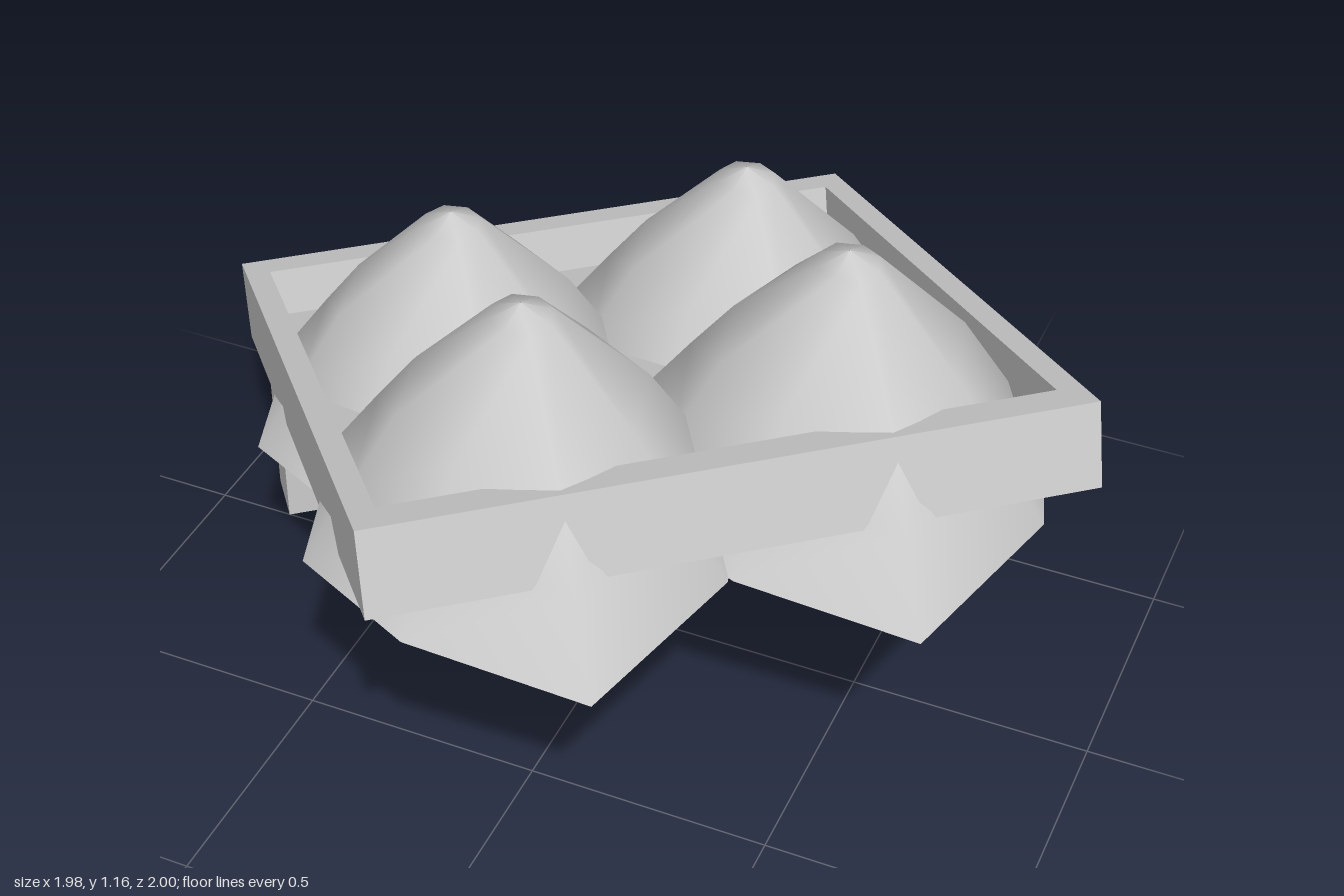
import * as THREE from 'three';

const W = 1.35, L = 1.49, H = 0.168; // tray width, length, height
const SIDE = 0.05, END = 0.083;      // rim widths
const YAW = 0.681, TILT = 0.286;

const mat = new THREE.MeshStandardMaterial({ color: 0xcccccc, side: THREE.DoubleSide });

function add(name, parent, geometry, x, y, z) {
  const m = new THREE.Mesh(geometry, mat);
  m.name = name;
  m.position.set(x, y, z);
  parent.add(m);
  return m;
}

// Joins closed rings of points, each given from low outside to the end of the surface
function loft(rings, flat) {
  const n = rings[0].length, idx = [];
  for (let j = 1; j < rings.length; j++) {
    for (let i = 0; i < n; i++) {
      const k = (i + 1) % n, a = (j - 1) * n, b = j * n;
      idx.push(a + i, a + k, b + k, a + i, b + k, b + i);
    }
  }
  let g = new THREE.BufferGeometry();
  g.setAttribute('position', new THREE.Float32BufferAttribute(rings.flat(2), 3));
  g.setIndex(idx);
  if (flat) g = g.toNonIndexed();
  g.computeVertexNormals();
  return g;
}

// Rectangle of width w and depth d at height y
const rect = (w, d, y) =>
  [[-1, 1], [1, 1], [1, -1], [-1, -1]].map(([x, z]) => [x * w / 2, y, z * d / 2]);

// Pointed mound: eight spokes of [radius, drop], open scalloped rim
function moundGeometry() {
  const ridge = [[0.47, 0.535], [0.37, 0.365], [0.286, 0.225], [0.07, 0.03], [0.001, 0]];
  const valley = [[0.42, 0.465], [0.32, 0.325], [0.23, 0.205], [0.06, 0.025], [0.001, 0]];
  const flank = [[0.42, 0.5], [0.32, 0.34], [0.235, 0.205], [0.06, 0.025], [0.001, 0]];
  const spokes = [ridge, valley, flank, valley, ridge, valley, flank, valley];
  const rings = ridge.map((_, j) => spokes.map((s, i) => {
    const a = i * Math.PI / 4, [r, drop] = s[j];
    return [Math.sin(a) * r, -drop, Math.cos(a) * r];
  }));
  return loft(rings, false);
}

export function createModel() {
  const model = new THREE.Group();
  model.name = 'slopedTray';
  const turned = new THREE.Group();
  turned.name = 'turnedAssembly';
  turned.rotation.y = YAW;
  model.add(turned);

  // Sloping tray shell, open below: outer walls, rim, inner walls and recessed floor
  const iw = W - 2 * SIDE, il = L - 2 * END, floorY = -0.016;
  const tray = add('tray', turned, loft([
    rect(W, L, -H / 2), rect(W, L, H / 2), rect(iw, il, H / 2),
    rect(iw, il, floorY), rect(0.001, 0.001, floorY),
  ], true), 0, 0.67, 0);
  tray.rotation.x = -TILT;

  // Two hollow legs under the low end, four upright mounds through the floor
  const leg = loft([rect(0.123, 0.123, 0), rect(0.123, 0.123, 0.47)], true);
  const mound = moundGeometry();
  for (const s of [-1, 1]) {
    add('leg', turned, leg, s * 0.587, 0, -0.586);
    for (const [y, z] of [[1.165, 0.403], [0.96, -0.204]]) {
      add('mound', turned, mound, s * 0.302 - 0.011, y, z);
    }
  }
  return model;
}
